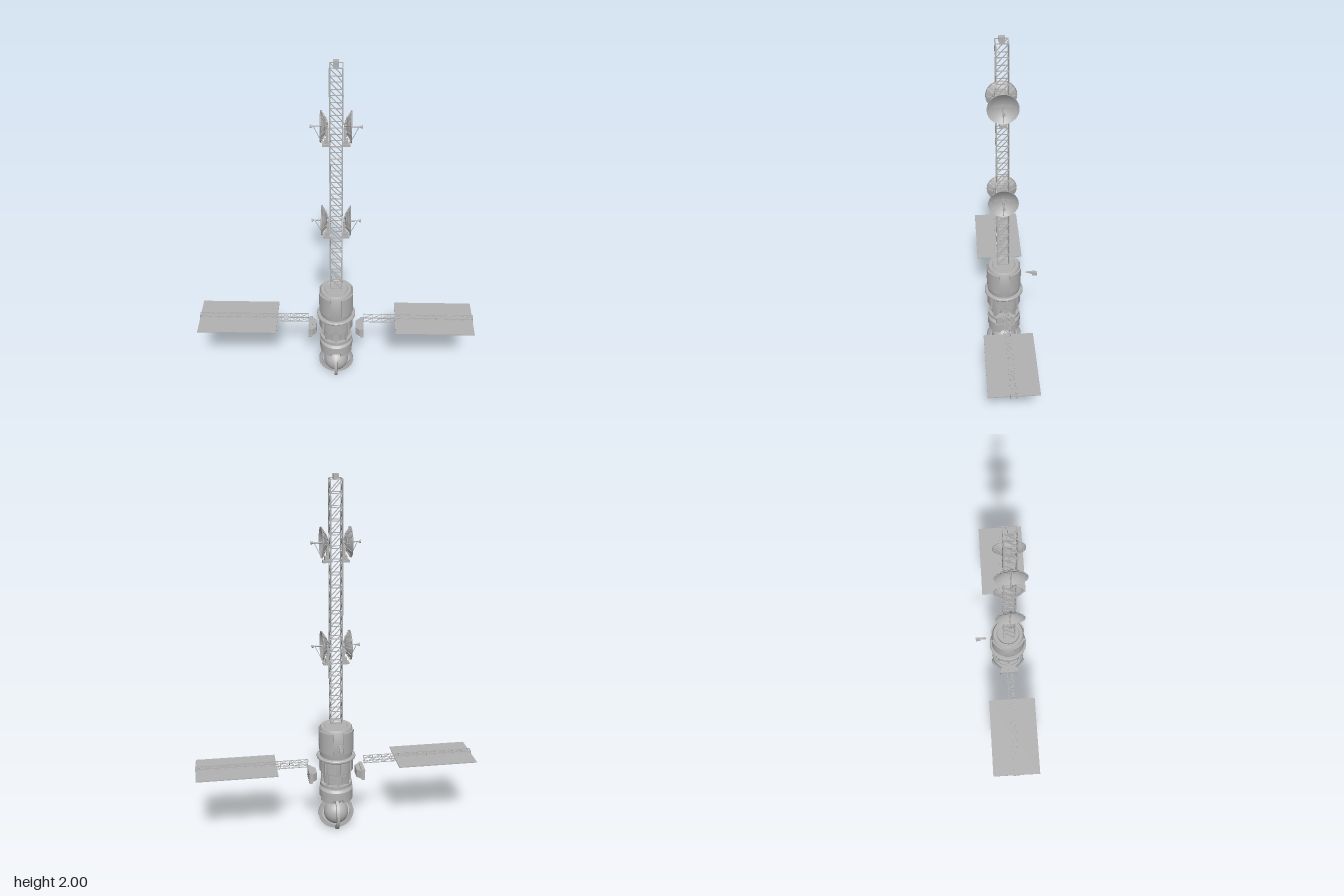
import * as THREE from 'three';
import { mergeGeometries, toCreasedNormals } from 'three/addons/utils/BufferGeometryUtils.js';

const hull = new THREE.MeshStandardMaterial({ color: 0xb2b2b2, side: THREE.DoubleSide });
hull.name = 'hull grey';
const V = (x, y, z) => new THREE.Vector3(x, y, z);

function add(parent, name, geometry) {
  const mesh = new THREE.Mesh(geometry, hull);
  mesh.name = name;
  parent.add(mesh);
  return mesh;
}
const box = (w, h, d, x, y, z) => new THREE.BoxGeometry(w, h, d).translate(x, y, z);

// Square bar between two points
function bar(a, b, t) {
  const d = b.clone().sub(a);
  const q = new THREE.Quaternion().setFromUnitVectors(V(0, 1, 0), d.clone().normalize());
  const mid = a.clone().add(b).multiplyScalar(0.5);
  return new THREE.BoxGeometry(t, d.length(), t).applyQuaternion(q).translate(mid.x, mid.y, mid.z);
}

// Square lattice rising along y: longerons, rungs and one diagonal per face and cell
function lattice(half, y0, y1, cells, thick, thin) {
  const parts = [], step = (y1 - y0) / cells;
  const corners = [[1, 1], [1, -1], [-1, -1], [-1, 1]];
  const at = (k, y) => V(corners[k % 4][0] * half, y, corners[k % 4][1] * half);
  for (let k = 0; k < 4; k++) {
    parts.push(bar(at(k, y0), at(k, y1), thick));
    for (let i = 0; i <= cells; i++) {
      const y = y0 + i * step;
      parts.push(bar(at(k, y), at(k + 1, y), thin));
      if (i === cells) continue;
      // opposite faces lean the same way when seen through the lattice
      const up = k < 2 ? 1 : 0;
      parts.push(bar(at(k, y + (1 - up) * step), at(k + 1, y + up * step), thin));
    }
  }
  return mergeGeometries(parts);
}

// Curved plate around the y axis
function arcPlate(r0, r1, y0, y1, mid, width) {
  const s = new THREE.Shape();
  s.absarc(0, 0, r1, mid - width / 2, mid + width / 2, false);
  s.absarc(0, 0, r0, mid + width / 2, mid - width / 2, true);
  return new THREE.ExtrudeGeometry(s, { depth: y1 - y0, bevelEnabled: false, curveSegments: 6 })
    .rotateX(-Math.PI / 2).translate(0, y0, 0);
}
const aroundPlates = (n, offset, r0, r1, y0, y1, width) => mergeGeometries(
  Array.from({ length: n }, (_, i) => arcPlate(r0, r1, y0, y1, offset + i * 2 * Math.PI / n, width)));

function lathe(profile, segments = 32) {
  const g = new THREE.LatheGeometry(profile.map(([r, y]) => new THREE.Vector2(r, y)), segments);
  return toCreasedNormals(g, 0.5);
}

// Dish aimed along +x, with ribs behind, feed in front and a foot on the mast
function makeDish() {
  const dish = new THREE.Group();
  dish.name = 'dishAntenna';
  const curve = r => 0.046 + 5 * r * r;
  const radii = [0, 0.02, 0.04, 0.06, 0.08];
  add(dish, 'reflector', lathe(radii.map(r => [r, curve(r)]), 28).rotateZ(-Math.PI / 2));
  const ribs = [];
  for (let i = 0; i < 12; i++) {
    const a = i * Math.PI / 6, c = Math.cos(a), s = Math.sin(a);
    const p = (r, back) => V(curve(r) - back, r * c, r * s);
    ribs.push(bar(p(0.012, 0.007), p(0.045, 0.005), 0.003), bar(p(0.045, 0.005), p(0.079, 0.002), 0.003));
  }
  for (const r of [0.045, 0.078]) {
    ribs.push(new THREE.TorusGeometry(r, 0.0018, 4, 28).rotateY(Math.PI / 2).translate(curve(r) - 0.004, 0, 0)
      .toNonIndexed());
  }
  add(dish, 'backRibs', mergeGeometries(ribs.map(g => (g.index ? g.toNonIndexed() : g))));
  add(dish, 'hub', new THREE.CylinderGeometry(0.014, 0.014, 0.014, 12).rotateZ(Math.PI / 2).translate(0.044, 0, 0));
  add(dish, 'feedStem', new THREE.CylinderGeometry(0.003, 0.005, 0.074, 8).rotateZ(-Math.PI / 2).translate(0.083, 0, 0));
  add(dish, 'feedHorn', new THREE.CylinderGeometry(0.009, 0.005, 0.012, 10).rotateZ(-Math.PI / 2).translate(0.123, 0, 0));
  add(dish, 'feedBrace', bar(V(0.112, 0, 0), V(0.076, -0.075, 0), 0.003));
  add(dish, 'foot', mergeGeometries([
    box(0.04, 0.012, 0.036, 0.05, -0.098, 0),
    box(0.012, 0.1, 0.014, 0.043, -0.048, 0),
    box(0.022, 0.025, 0.024, 0.048, -0.082, 0)]));
  return dish;
}

// Solar wing reaching along +x
function makeWing() {
  const wing = new THREE.Group();
  wing.name = 'solarWing';
  add(wing, 'wingTruss', lattice(0.0155, 0.157, 0.777, 12, 0.003, 0.002)
    .rotateZ(-Math.PI / 2).translate(0, 0.418, -0.001));
  add(wing, 'solarPanel', box(0.442, 0.005, 0.267, 0.555, 0.418, -0.003));
  return wing;
}

// Thruster pod beside the waist, wider on its outer side
function makePod() {
  const pod = new THREE.Group();
  pod.name = 'sidePod';
  const s = new THREE.Shape();
  [[0.112, 0.03], [0.135, 0.052], [0.156, 0.052], [0.156, -0.052], [0.135, -0.052], [0.112, -0.03]]
    .forEach(([x, z], i) => (i ? s.lineTo(x, z) : s.moveTo(x, z)));
  add(pod, 'podBody', new THREE.ExtrudeGeometry(s, { depth: 0.046, bevelEnabled: false })
    .rotateX(-Math.PI / 2).translate(0, 0.326, 0));
  for (const y of [0.32, 0.375]) add(pod, 'podFlange', box(0.02, 0.008, 0.108, 0.147, y, 0));
  return pod;
}

export function createModel() {
  const model = new THREE.Group();
  model.name = 'spaceStation';
  const core = new THREE.Group();
  core.name = 'station';
  core.position.z = 0.025;
  model.add(core);

  // Mast
  const mast = add(core, 'mast', lattice(0.031, 0.662, 1.975, 19, 0.006, 0.004));
  mast.position.z = 0.004;
  add(core, 'mastCap', box(0.028, 0.03, 0.028, 0, 1.985, 0.004));

  // Mirrored pairs
  for (const turn of [0, Math.PI]) {
    for (const y of [1.655, 1.1]) {
      const dish = makeDish();
      dish.position.set(0, y, 0.004);
      dish.rotation.y = turn;
      core.add(dish);
    }
    for (const part of [makeWing(), makePod()]) {
      part.rotation.y = turn;
      core.add(part);
    }
  }

  // Main hull
  add(core, 'upperHull', lathe([[0, 0.632], [0.06, 0.632], [0.066, 0.638], [0.084, 0.638], [0.09, 0.628],
    [0.096, 0.55], [0.094, 0.5], [0.089, 0.464]].reverse()));
  add(core, 'hullBand', lathe([[0.085, 0.448], [0.104, 0.448], [0.108, 0.453], [0.108, 0.461], [0.104, 0.466], [0.085, 0.466]]));
  add(core, 'midHull', lathe([[0.07, 0.36], [0.088, 0.368], [0.09, 0.385], [0.09, 0.448]]));
  add(core, 'waist', lathe([[0.07, 0.27], [0.072, 0.365]]));
  add(core, 'waistRing', lathe([[0.07, 0.284], [0.09, 0.284], [0.09, 0.302], [0.07, 0.302]]));
  add(core, 'collar', lathe([[0, 0.215], [0.094, 0.218], [0.094, 0.262], [0.084, 0.274], [0.07, 0.276]]));

  // Raised plates, cage posts and collar teeth
  add(core, 'upperPlates', aroundPlates(4, Math.PI / 4, 0.086, 0.099, 0.5, 0.622, 0.95));
  add(core, 'lowerPlates', aroundPlates(8, Math.PI / 8, 0.085, 0.095, 0.378, 0.44, 0.5));
  add(core, 'waistPosts', aroundPlates(8, 0, 0.068, 0.084, 0.3, 0.368, 0.16));
  add(core, 'waistWindows', aroundPlates(4, Math.PI / 4, 0.07, 0.077, 0.315, 0.355, 0.9));
  add(core, 'collarTeeth', aroundPlates(4, Math.PI / 4, 0.076, 0.094, 0.198, 0.222, 0.95));
  add(core, 'handrails', mergeGeometries([0, 1, 2, 3].map(i => {
    const a = Math.PI / 4 + i * Math.PI / 2, c = Math.cos(a), s = Math.sin(a);
    return bar(V(0.1 * c, 0.372, 0.1 * s), V(0.1 * c, 0.456, 0.1 * s), 0.006);
  })));

  // Globe in two crossed hoops
  add(core, 'globe', new THREE.SphereGeometry(0.07, 32, 20).translate(0, 0.104, 0));
  const hoopProfile = [[0.08, -0.008], [0.1, -0.008], [0.1, 0.008], [0.08, 0.008], [0.08, -0.008]];
  for (const turn of [0, Math.PI / 2]) {
    add(core, 'globeHoop', lathe(hoopProfile, 40).rotateX(Math.PI / 2).rotateY(turn).translate(0, 0.1, 0));
  }
  add(core, 'globeNeck', new THREE.CylinderGeometry(0.04, 0.03, 0.05, 20).translate(0, 0.192, 0));

  // Small rear sensor
  const sensor = new THREE.Group();
  sensor.name = 'rearSensor';
  sensor.position.set(0, 0.563, -0.135);
  model.add(sensor);
  add(sensor, 'sensorHead', box(0.018, 0.016, 0.028, 0, -0.003, -0.014));
  add(sensor, 'sensorTop', box(0.012, 0.005, 0.045, 0, 0.009, 0.006));
  add(sensor, 'sensorArm', bar(V(0, -0.003, 0), V(0, 0.009, 0.035), 0.004));
  return model;
}
